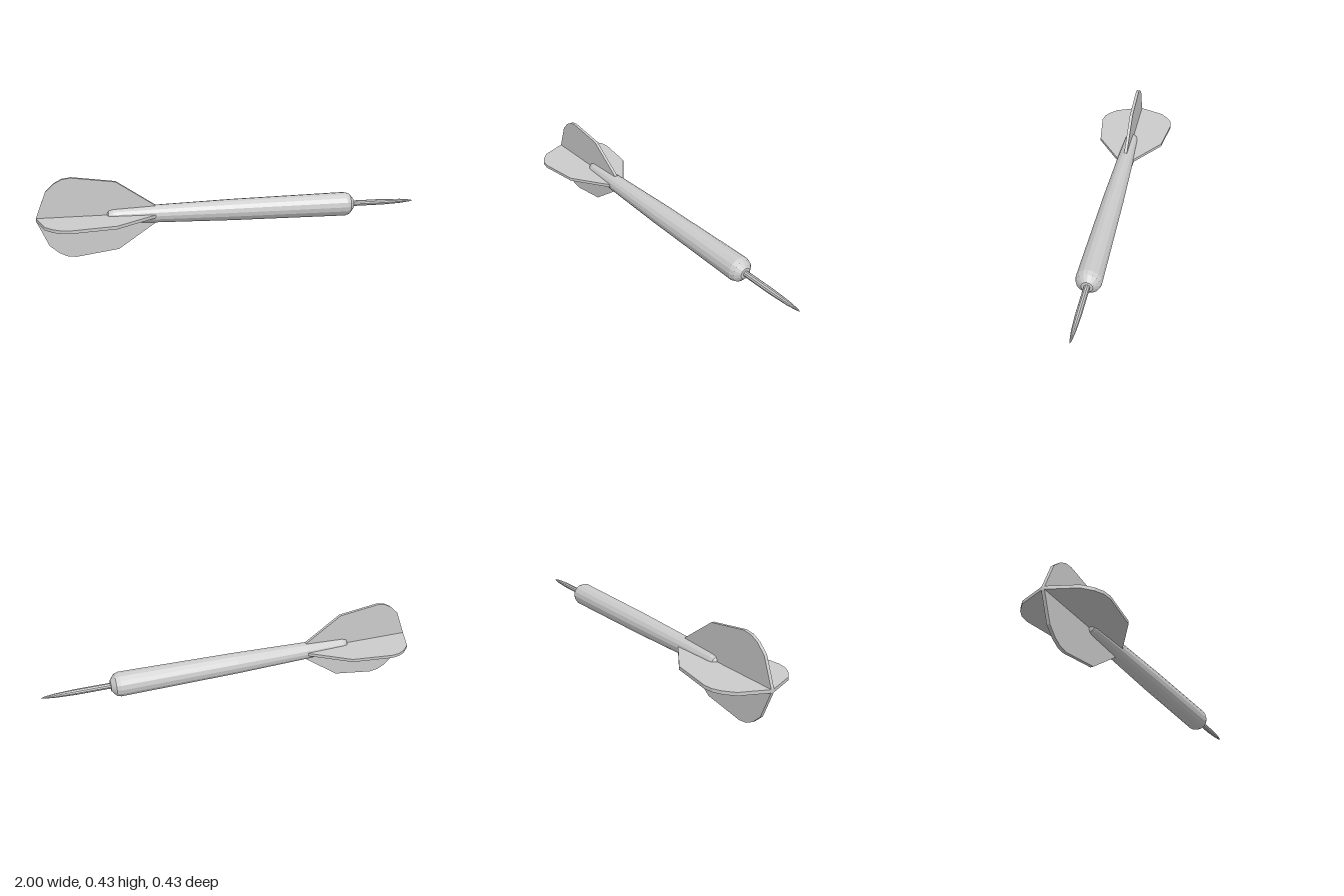
import * as THREE from 'three';

const material = new THREE.MeshStandardMaterial({ color: 0xcccccc, flatShading: true });
const AXIS_HEIGHT = 0.2125;

// Turned part along x; profile is a list of [x, radius], rear to front
function turned(name, profile, sides) {
  const points = profile.map(([x, r]) => new THREE.Vector2(r, x));
  const geometry = new THREE.LatheGeometry(points, sides).rotateZ(-Math.PI / 2);
  const mesh = new THREE.Mesh(geometry, material);
  mesh.name = name;
  return mesh;
}

export function createModel() {
  const dart = new THREE.Group();
  dart.name = 'dart';

  // Tapered barrel with rounded ends
  dart.add(turned('barrel', [
    [-0.648, 0], [-0.645, 0.02], [-0.638, 0.031], [-0.615, 0.037], [-0.4, 0.046],
    [0, 0.056], [0.615, 0.0635], [0.637, 0.056], [0.66, 0.028], [0.662, 0],
  ], 16));

  // Needle point
  dart.add(turned('needle', [
    [0.64, 0], [0.64, 0.015], [0.83, 0.015], [0.93, 0.011], [0.985, 0.005], [1, 0],
  ], 10));

  // Four flight fins around the axis
  const thickness = 0.016;
  const outline = [
    [-1, 0], [-0.4, 0], [-0.4, 0.047], [-0.595, 0.182], [-0.815, 0.2125],
    [-0.86, 0.206], [-0.9, 0.185], [-0.945, 0.143], [-1, 0.008],
  ];
  const shape = new THREE.Shape(outline.map(([x, y]) => new THREE.Vector2(x, y)));
  const finGeometry = new THREE.ExtrudeGeometry(shape, { depth: thickness, bevelEnabled: false });
  finGeometry.translate(0, 0, -thickness / 2);
  const flight = new THREE.Group();
  flight.name = 'flight';
  for (let i = 0; i < 4; i++) {
    const fin = new THREE.Mesh(finGeometry, material);
    fin.name = `fin${i + 1}`;
    fin.rotation.x = (i * Math.PI) / 2;
    flight.add(fin);
  }
  dart.add(flight);

  dart.position.y = AXIS_HEIGHT;
  const model = new THREE.Group();
  model.name = 'model';
  model.add(dart);
  return model;
}
